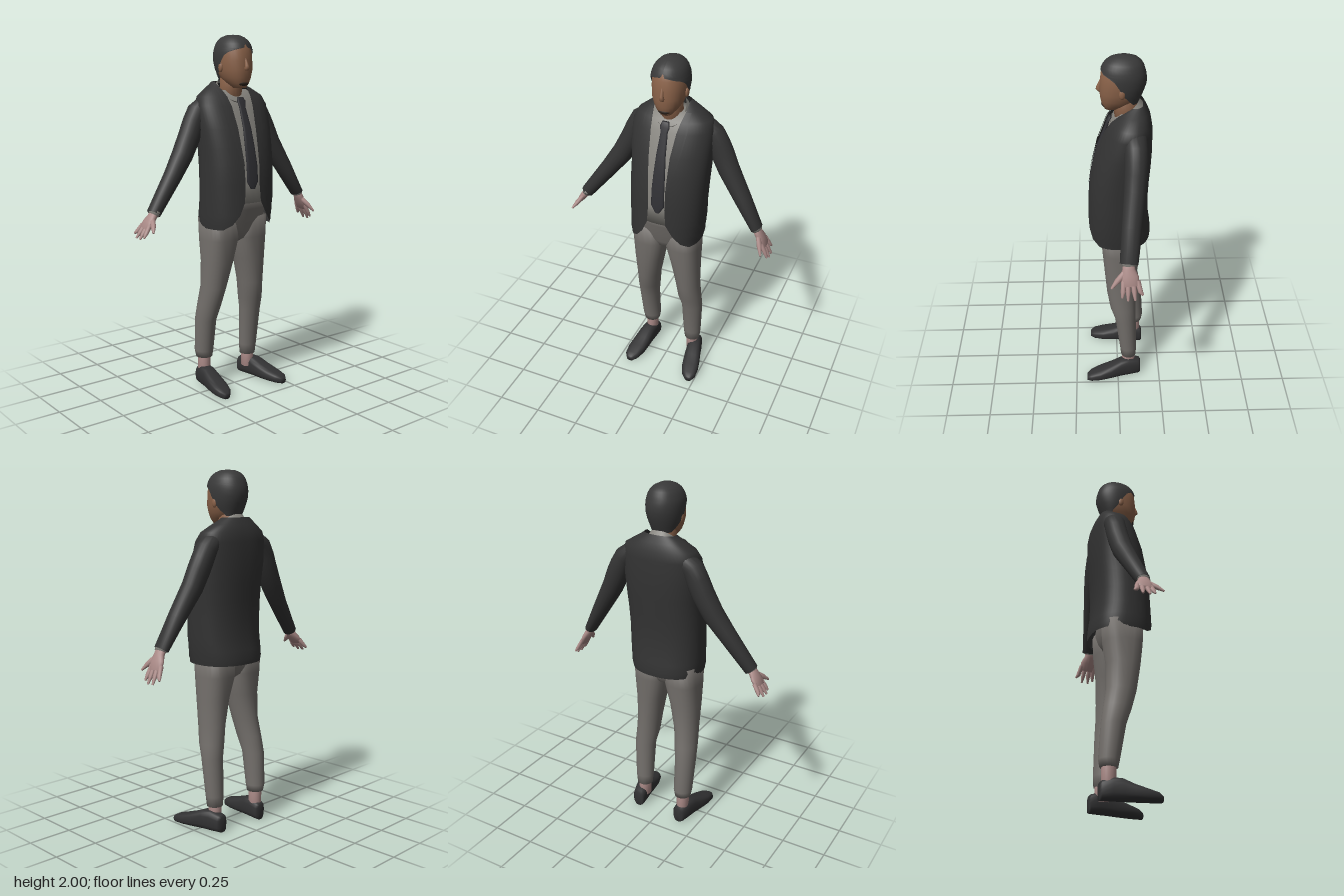
import * as THREE from 'three';

const mat = (name, color, side = THREE.FrontSide) => {
  const m = new THREE.MeshStandardMaterial({ color, side });
  m.name = name;
  return m;
};

const POWER = 2.35; // squareness of torso cross-sections
const DOWN = [0, -1, 0];

// Skin over cross-sections [x, y, z, halfWidth, halfDepth, squareness], listed top to
// bottom (or root to tip). dir fixes the section normal; arc(i) limits one to an angle range.
function loft(rings, { dir = null, ref = [0, 0, 1], n = 2, segs = 20, cap = true, arc = null } = {}) {
  const pos = [], idx = [];
  const cols = arc ? segs + 1 : segs;
  const centre = (i) => new THREE.Vector3(...rings[i].slice(0, 3));
  const bend = (c, power) => Math.sign(c) * Math.abs(c) ** (2 / power);
  rings.forEach((r, i) => {
    const t = (dir ? new THREE.Vector3(...dir)
      : centre(Math.min(i + 1, rings.length - 1)).sub(centre(Math.max(i - 1, 0)))).normalize();
    const v = new THREE.Vector3(...ref);
    v.addScaledVector(t, -v.dot(t)).normalize();
    const u = v.clone().cross(t);
    const [a0, a1] = arc ? arc(i) : [0, Math.PI * 2];
    const power = r[5] ?? n;
    for (let j = 0; j < cols; j++) {
      const a = a0 + (a1 - a0) * j / segs;
      const p = centre(i).addScaledVector(u, r[3] * bend(Math.cos(a), power))
        .addScaledVector(v, r[4] * bend(Math.sin(a), power));
      pos.push(p.x, p.y, p.z);
    }
  });
  for (let i = 0; i < rings.length - 1; i++) {
    for (let j = 0; j < segs; j++) {
      const k = (j + 1) % cols;
      const a = i * cols + j, b = i * cols + k, c = a + cols, d = b + cols;
      idx.push(a, b, c, b, d, c);
    }
  }
  if (cap && !arc) {
    const last = (rings.length - 1) * cols, s = pos.length / 3;
    pos.push(...rings[0].slice(0, 3), ...rings[rings.length - 1].slice(0, 3));
    for (let j = 0; j < segs; j++) {
      const k = (j + 1) % segs;
      idx.push(s, k, j, s + 1, last + j, last + k);
    }
  }
  const g = new THREE.BufferGeometry();
  g.setAttribute('position', new THREE.Float32BufferAttribute(pos, 3));
  g.setIndex(idx);
  g.computeVertexNormals();
  return g;
}

// Level cross-section from its extents [y, xMin, xMax, zBack, zFront]
const span = ([y, x0, x1, zb, zf]) => [(x0 + x1) / 2, y, (zb + zf) / 2, (x1 - x0) / 2, (zf - zb) / 2];

export function createModel() {
  const model = new THREE.Group();
  const suit = mat('jacket charcoal', 0x333333, THREE.DoubleSide);
  const hairMat = mat('hair black', 0x393939, THREE.DoubleSide);
  const trouserMat = mat('trouser grey', 0x74706c);
  const shirtMat = mat('shirt grey', 0x86847e, THREE.DoubleSide);
  const tieMat = mat('tie dark', 0x313135);
  const faceMat = mat('face skin', 0x8a6249);
  const handMat = mat('hand skin', 0xaa8a87);
  const shoeMat = mat('shoe black', 0x323233);
  const beardMat = mat('beard brown', 0x30261f);

  const add = (name, geometry, material) => {
    const m = new THREE.Mesh(geometry, material);
    m.name = name;
    model.add(m);
    return m;
  };
  const blob = (name, material, x, y, z, rx, ry, rz) => {
    const m = add(name, new THREE.SphereGeometry(1, 16, 10), material);
    m.position.set(x, y, z);
    m.scale.set(rx, ry, rz);
  };

  // Jacket: [y, xMin, xMax, zBack, zFront, opening right, opening left]
  const rows = [
    [1.748, -0.082, 0.102, -0.138, -0.04, -0.08, 0.1],
    [1.71, -0.13, 0.16, -0.158, -0.005, -0.08, 0.1],
    [1.67, -0.185, 0.225, -0.173, 0.03, -0.072, 0.09],
    [1.62, -0.208, 0.245, -0.182, 0.062, -0.066, 0.08],
    [1.5, -0.208, 0.245, -0.183, 0.108, -0.058, 0.065],
    [1.4, -0.2, 0.24, -0.178, 0.132, -0.053, 0.06],
    [1.3, -0.2, 0.235, -0.17, 0.152, -0.046, 0.056],
    [1.2, -0.2, 0.23, -0.165, 0.158, -0.043, 0.053],
    [1.1, -0.2, 0.228, -0.168, 0.163, -0.05, 0.06],
    [1.03, -0.2, 0.22, -0.178, 0.166, -0.08, 0.1],
    [0.98, -0.2, 0.215, -0.183, 0.167, -0.12, 0.14],
    [0.95, -0.195, 0.208, -0.18, 0.165, -0.16, 0.175],
  ];
  const angleAt = (row, x) => {
    const [cx, , , a] = span(row);
    const c = THREE.MathUtils.clamp((x - cx) / a, -1, 1);
    return Math.acos(Math.sign(c) * Math.abs(c) ** (POWER / 2));
  };
  add('jacket', loft(rows.map(span), {
    dir: DOWN, n: POWER, segs: 48,
    arc: (i) => [angleAt(rows[i], rows[i][5]), Math.PI * 2 + angleAt(rows[i], rows[i][6])],
  }), suit);

  // Lapels lie just over the jacket front
  const lapelWidth = [0.03, 0.045, 0.055, 0.05, 0.03, 0.004];
  const lapelRows = rows.slice(1, 7);
  const lapelRings = lapelRows.map(span).map(([x, y, z, a, b]) => [x, y, z, a, b + 0.005]);
  for (const side of [-1, 1]) {
    add(side < 0 ? 'rightLapel' : 'leftLapel', loft(lapelRings, {
      dir: DOWN, n: POWER, segs: 4,
      arc: (i) => {
        const r = lapelRows[i], w = lapelWidth[i];
        return side < 0 ? [angleAt(r, r[5]), angleAt(r, r[5] - w)] : [angleAt(r, r[6] + w), angleAt(r, r[6])];
      },
    }), suit);
  }

  // Shirt, tilted collar and tie
  add('shirt', loft(rows.slice(1, 9).map(([y, x0, x1, zb, zf]) =>
    span([y - 0.008, x0 + 0.03, x1 - 0.03, zb + 0.025, zf - 0.012])), { dir: DOWN, n: POWER, segs: 36 }), shirtMat);
  add('shirtCollar', loft([[0.01, 1.703, -0.036, 0.076, 0.098], [0.01, 1.675, -0.058, 0.092, 0.098]],
    { dir: [0, -0.77, -0.64], n: 2.4, segs: 28, cap: false }), shirtMat);
  add('tie', loft([
    [1.665, 0.037, 0.02], [1.64, 0.05, 0.028], [1.615, 0.056, 0.02], [1.5, 0.099, 0.027],
    [1.4, 0.123, 0.033], [1.3, 0.143, 0.037], [1.21, 0.149, 0.038], [1.17, 0.152, 0.012],
  ].map(([y, z, w]) => [0.01, y, z, w, 0.008]), { dir: DOWN, n: 3, segs: 12 }), tieMat);

  // Head and neck
  add('neck', loft([[0.01, 1.8, -0.04, 0.06, 0.065], [0.01, 1.72, -0.045, 0.06, 0.065],
    [0.01, 1.62, -0.06, 0.065, 0.07]], { dir: DOWN }), faceMat);
  add('head', loft([
    [1.975, -0.038, 0.062, -0.1, 0.04], [1.95, -0.064, 0.088, -0.125, 0.066],
    [1.91, -0.077, 0.101, -0.136, 0.084], [1.86, -0.079, 0.103, -0.138, 0.089],
    [1.81, -0.075, 0.099, -0.12, 0.092], [1.77, -0.062, 0.086, -0.1, 0.087],
    [1.74, -0.044, 0.068, -0.06, 0.08], [1.715, -0.02, 0.044, -0.01, 0.066],
  ].map(span), { dir: DOWN, n: 2.2, segs: 28 }), faceMat);
  add('nose', loft([[0.012, 1.875, 0.084, 0.006, 0.004], [0.012, 1.835, 0.092, 0.01, 0.015],
    [0.012, 1.82, 0.093, 0.014, 0.018], [0.012, 1.808, 0.088, 0.012, 0.01]], { dir: DOWN, segs: 10 }), faceMat);
  blob('beard', beardMat, 0.012, 1.74, 0.062, 0.034, 0.016, 0.021);
  for (const s of [-1, 1]) blob(s < 0 ? 'rightEar' : 'leftEar', faceMat, 0.012 + s * 0.091, 1.825, -0.022, 0.01, 0.026, 0.016);

  // Hair: one shell whose front opening widens below the hairline (degrees each side)
  const hairline = [0, 0, 0, 0, 0, 6, 34, 58, 72, 82, 92, 106, 125];
  add('hair', loft([
    [2, 0.011, 0.013, -0.031, -0.029], [1.997, -0.02, 0.044, -0.075, 0.012], [1.985, -0.046, 0.07, -0.105, 0.042],
    [1.968, -0.064, 0.088, -0.124, 0.064], [1.95, -0.075, 0.099, -0.135, 0.077], [1.93, -0.082, 0.106, -0.141, 0.086],
    [1.92, -0.085, 0.109, -0.144, 0.09], [1.907, -0.087, 0.111, -0.147, 0.093], [1.89, -0.088, 0.112, -0.149, 0.096],
    [1.86, -0.088, 0.112, -0.149, 0.097], [1.82, -0.083, 0.107, -0.136, 0.09], [1.785, -0.072, 0.096, -0.122, 0.07],
    [1.755, -0.06, 0.084, -0.108, 0.03],
  ].map(span), {
    dir: DOWN, n: 2.15, segs: 36,
    arc: (i) => [Math.PI / 2 + THREE.MathUtils.degToRad(hairline[i]), Math.PI * 2.5 - THREE.MathUtils.degToRad(hairline[i])],
  }), hairMat);

  // Sleeves, cuffs and hands
  const hand = (side, [x, y, z], tipX, tipY) => {
    const dx = tipX - x, dy = tipY - y;
    const at = (f, dz, a, b) => [x + dx * f, y + dy * f, z + dz, a, b];
    add(side + 'Cuff', loft([at(-0.1, 0, 0.03, 0.038), at(0.05, 0, 0.028, 0.036)], { segs: 14 }), shirtMat);
    add(side + 'Palm', loft([at(-0.1, 0, 0.022, 0.03), at(0.15, 0, 0.022, 0.034),
      at(0.35, -0.005, 0.02, 0.047), at(0.6, -0.01, 0.014, 0.045)], { segs: 14 }), handMat);
    const fingers = [[0.025, 0.035, 0.92], [0.003, 0.005, 1], [-0.022, -0.032, 0.99], [-0.045, -0.072, 0.85]];
    for (const [z0, z1, f] of fingers) {
      add(side + 'Finger', loft([at(0.45, z0, 0.012, 0.014), at(0.75, (z0 + z1) / 2, 0.011, 0.013),
        at(f, z1, 0.005, 0.006)], { segs: 8 }), handMat);
    }
    add(side + 'Thumb', loft([at(0.2, 0.012, 0.014, 0.018), at(0.45, 0.058, 0.013, 0.015),
      at(0.66, 0.09, 0.005, 0.006)], { segs: 8 }), handMat);
  };
  const sleeves = {
    left: [[0.12, 1.635, -0.085, 0.045, 0.055], [0.19, 1.615, -0.088, 0.055, 0.06], [0.23, 1.58, -0.09, 0.061, 0.06],
      [0.258, 1.53, -0.09, 0.063, 0.06], [0.285, 1.475, -0.088, 0.064, 0.059], [0.325, 1.39, -0.082, 0.06, 0.057],
      [0.42, 1.235, -0.063, 0.047, 0.052], [0.512, 1.08, -0.047, 0.031, 0.048]],
    right: [[-0.08, 1.64, -0.085, 0.045, 0.055], [-0.145, 1.615, -0.088, 0.055, 0.06], [-0.185, 1.585, -0.09, 0.061, 0.06],
      [-0.212, 1.53, -0.09, 0.063, 0.06], [-0.243, 1.46, -0.086, 0.063, 0.06], [-0.3, 1.355, -0.077, 0.059, 0.058],
      [-0.375, 1.25, -0.06, 0.05, 0.05], [-0.515, 1.065, -0.035, 0.037, 0.04]],
  };
  for (const side in sleeves) add(side + 'Sleeve', loft(sleeves[side]), suit);
  hand('left', [0.512, 1.08, -0.045], 0.6, 0.91);
  hand('right', [-0.515, 1.065, -0.032], -0.608, 0.938);

  // Trousers
  add('trouserTop', loft([[1.13, -0.16, 0.18, -0.11, 0.135], [1.05, -0.18, 0.195, -0.13, 0.118],
    [0.98, -0.185, 0.192, -0.135, 0.096], [0.92, -0.16, 0.165, -0.12, 0.08], [0.88, -0.1, 0.1, -0.1, 0.06],
    [0.86, -0.04, 0.04, -0.07, 0.03],
  ].map(span), { dir: DOWN, n: 2.3, segs: 28 }), trouserMat);
  const legs = {
    left: [[0.099, 1, -0.02, 0.098, 0.112, 3], [0.1, 0.88, -0.02, 0.098, 0.107, 2.7], [0.115, 0.75, -0.018, 0.083, 0.093, 2.3],
      [0.128, 0.6, -0.022, 0.07, 0.083], [0.137, 0.5, -0.03, 0.068, 0.074], [0.148, 0.42, -0.045, 0.062, 0.06],
      [0.146, 0.2, -0.062, 0.053, 0.049], [0.146, 0.14, -0.064, 0.046, 0.044]],
    right: [[-0.097, 1, -0.02, 0.098, 0.113, 3], [-0.098, 0.88, -0.02, 0.098, 0.108, 2.7], [-0.11, 0.75, -0.02, 0.085, 0.093, 2.3],
      [-0.125, 0.6, -0.035, 0.069, 0.083], [-0.136, 0.5, -0.058, 0.065, 0.077], [-0.146, 0.4, -0.083, 0.059, 0.067],
      [-0.143, 0.21, -0.105, 0.054, 0.056], [-0.142, 0.17, -0.105, 0.047, 0.048]],
  };
  // Feet: heel and toe as [x, z]
  const feet = { left: [[0.152, -0.135], [0.218, 0.186]], right: [[-0.137, -0.155], [-0.18, 0.166]] };
  // Shoe profile: [share of length, height, half width]
  const shoe = [[0, 0.088, 0.026], [0.03, 0.1, 0.038], [0.2, 0.118, 0.044], [0.36, 0.115, 0.046], [0.55, 0.088, 0.051],
    [0.75, 0.066, 0.052], [0.92, 0.05, 0.041], [1, 0.034, 0.02]];
  for (const side in legs) {
    add(side + 'TrouserLeg', loft(legs[side], { dir: DOWN, segs: 24 }), trouserMat);
    const [hx, hy, hz] = legs[side][7];
    add(side + 'Ankle', loft([[hx, hy + 0.03, hz, 0.036, 0.038], [hx, 0.06, hz, 0.034, 0.04]], { dir: DOWN }), handMat);
    const [[x0, z0], [x1, z1]] = feet[side];
    add(side + 'Shoe', loft(shoe.map(([f, h, w]) =>
      [x0 + (x1 - x0) * f, h / 2, z0 + (z1 - z0) * f, w, h / 2]), { dir: [0, 0, 1], ref: [0, 1, 0], n: 2.8 }), shoeMat);
  }
  return model;
}
